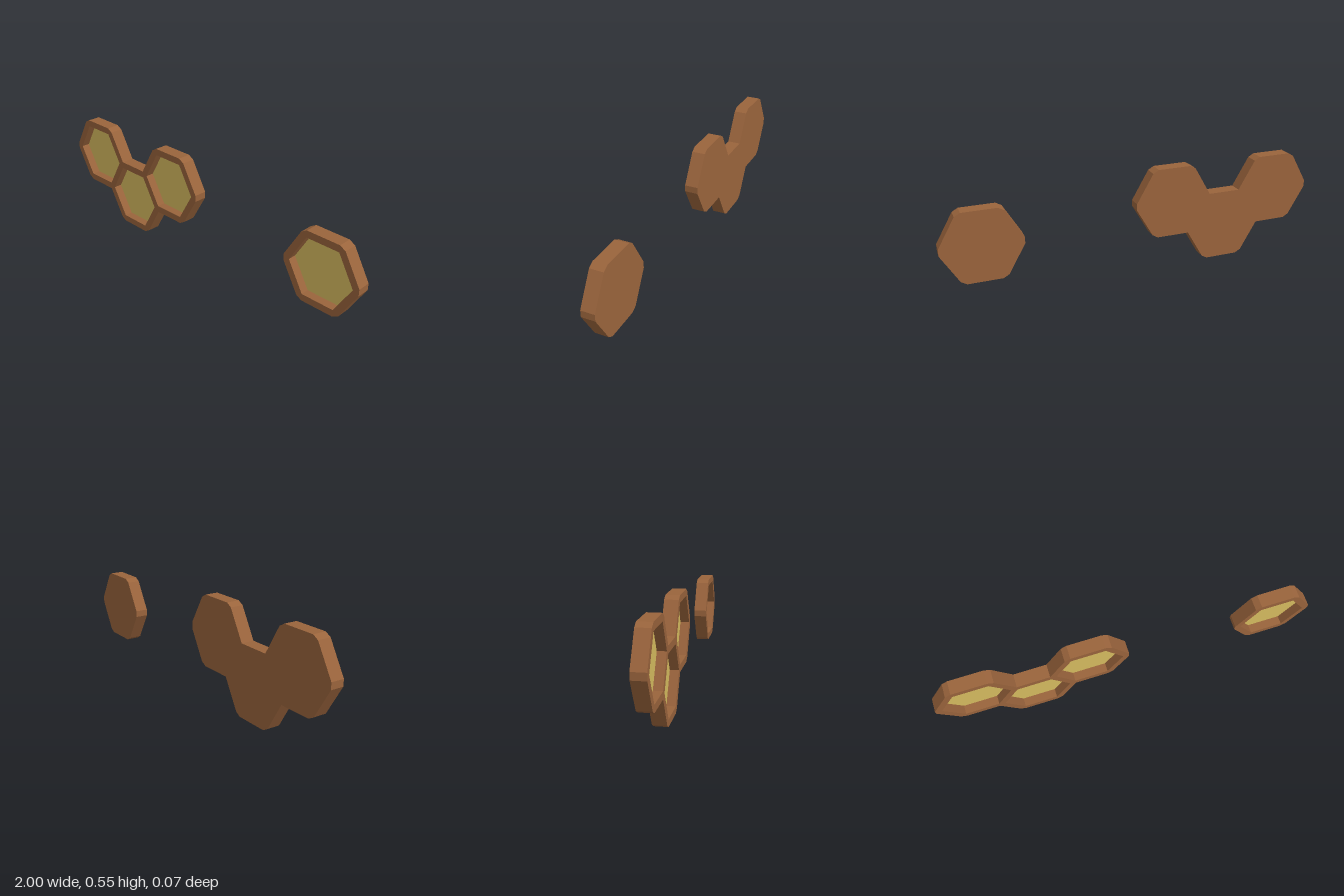
import * as THREE from 'three';

const HALF_DEPTH = 0.035;  // frame spans z = -0.035 .. 0.035
const FLOOR = -0.015;      // top of the solid back
const PANEL = 0.005;       // panel thickness
const INNER_R = 0.152 / Math.cos(Math.PI / 6);

// Outer hexagon point: each of the 6 corners is cut into two points (index 2k and 2k+1).
function outerPoint([cx, cy], i) {
  const a = Math.floor(i / 2) * Math.PI / 3;
  const half = (i % 2 ? 1 : -1) * 0.0173, r = 0.207;
  return new THREE.Vector2(
    cx + r * Math.cos(a) - half * Math.sin(a),
    cy + r * Math.sin(a) + half * Math.cos(a));
}

const outerRun = (center, from, to) =>
  Array.from({ length: to - from + 1 }, (_, i) => outerPoint(center, from + i));

const innerHex = ([cx, cy]) => Array.from({ length: 6 }, (_, k) => new THREE.Vector2(
  cx + INNER_R * Math.cos(k * Math.PI / 3),
  cy + INNER_R * Math.sin(k * Math.PI / 3)));

function slab(name, shape, z0, z1, material) {
  const geometry = new THREE.ExtrudeGeometry(shape, { depth: z1 - z0, bevelEnabled: false });
  geometry.translate(0, 0, z0);
  const mesh = new THREE.Mesh(geometry, material);
  mesh.name = name;
  return mesh;
}

export function createModel() {
  const wood = new THREE.MeshStandardMaterial({ color: 0x9a643c });
  const gold = new THREE.MeshStandardMaterial({ color: 0xd8bd60 });
  const model = new THREE.Group();
  model.name = 'hexagonShelves';

  // One tray: solid back, raised rim with a hole per cell, and a panel in each cell
  function addTray(name, outline, cells) {
    const tray = new THREE.Group();
    tray.name = name;
    tray.add(slab('back', new THREE.Shape(outline), -HALF_DEPTH, FLOOR, wood));
    const rim = new THREE.Shape(outline);
    rim.holes = cells.map(c => new THREE.Path(innerHex(c)));
    tray.add(slab('rim', rim, FLOOR, HALF_DEPTH, wood));
    cells.forEach(c =>
      tray.add(slab('panel', new THREE.Shape(innerHex(c)), FLOOR, FLOOR + PANEL, gold)));
    model.add(tray);
  }

  // Three joined cells sharing their walls
  const a = [-0.793, 0.359], b = [-0.5, 0.188], c = [-0.207, 0.359];
  addTray('tripleTray',
    [...outerRun(a, 1, 9), ...outerRun(b, 7, 12), ...outerRun(c, 10, 18)], [a, b, c]);

  // Single detached cell
  const d = [0.793, 0.275];
  addTray('singleTray', outerRun(d, 0, 11), [d]);

  return model;
}
